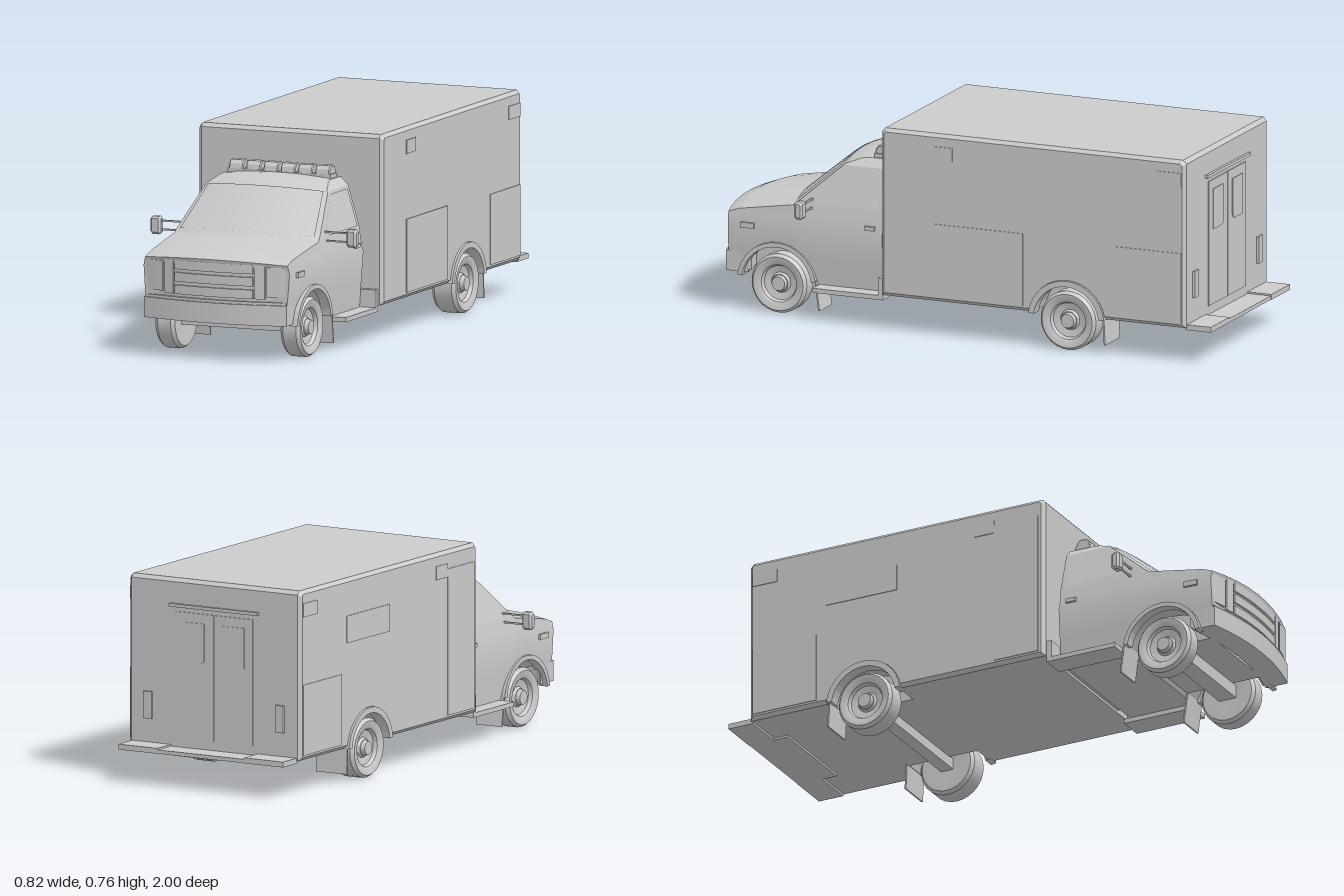
import * as THREE from 'three';
import { toCreasedNormals } from 'three/addons/utils/BufferGeometryUtils.js';

const mat = new THREE.MeshStandardMaterial({ color: 0xcccccc, side: THREE.DoubleSide });
const clamp = THREE.MathUtils.clamp;

// piecewise linear lookup in rising [key, value] pairs
function lookup(table, k) {
  for (let i = 1; i < table.length; i++) {
    const [a, va] = table[i - 1], [b, vb] = table[i];
    if (k <= b) return va + (vb - va) * clamp((k - a) / (b - a), 0, 1);
  }
  return table[table.length - 1][1];
}

export function createModel() {
  const model = new THREE.Group();
  const add = (name, geo, x = 0, y = 0, z = 0) => {
    const m = new THREE.Mesh(geo, mat);
    m.name = name;
    m.position.set(x, y, z);
    model.add(m);
    return m;
  };
  // box given by its limits
  const box = (name, x0, x1, y0, y1, z0, z1) =>
    add(name, new THREE.BoxGeometry(x1 - x0, y1 - y0, z1 - z0), (x0 + x1) / 2, (y0 + y1) / 2, (z0 + z1) / 2);
  // (z, y) outline extruded across x with chamfered ends
  const slab = (name, pts, x0, x1, b = 0) => {
    const shape = new THREE.Shape(pts.map(p => new THREE.Vector2(p[0], p[1])));
    const geo = new THREE.ExtrudeGeometry(shape, {
      depth: x1 - x0 - 2 * b, bevelEnabled: b > 0, bevelThickness: b, bevelSize: b, bevelOffset: -b, bevelSegments: 1,
    });
    geo.rotateY(-Math.PI / 2).translate(x1 - b, 0, 0);
    return add(name, geo);
  };
  const rect = (z0, z1, y0, y1, c = 0) => c
    ? [[z0 + c, y0], [z1 - c, y0], [z1, y0 + c], [z1, y1 - c], [z1 - c, y1], [z0 + c, y1], [z0, y1 - c], [z0, y0 + c]]
    : [[z0, y0], [z1, y0], [z1, y1], [z0, y1]];
  const arc = (cz, cy, r, a0, a1, n = 16) => Array.from({ length: n + 1 }, (_, i) => {
    const a = a0 + (a1 - a0) * i / n;
    return [cz + r * Math.cos(a), cy + r * Math.sin(a)];
  });
  // slab following the bowed nose, seen from above
  const bowed = (name, x0, x1, y0, y1, front, depth) => {
    const pts = [], n = 10;
    for (let i = 0; i <= n; i++) {
      const x = x0 + (x1 - x0) * i / n;
      pts.push(new THREE.Vector2(x, 0.5 * x * x - front));
    }
    for (let i = n; i >= 0; i--) pts.push(new THREE.Vector2(pts[i].x, pts[i].y + depth));
    const geo = new THREE.ExtrudeGeometry(new THREE.Shape(pts), { depth: y1 - y0, bevelEnabled: false });
    geo.rotateX(-Math.PI / 2);
    return add(name, toCreasedNormals(geo, 0.5), 0, y0, 0);
  };

  // rear body with wheel notch
  const RZ = -0.435, FZ = 0.75, WY = 0.11;
  const a = Math.asin(0.02 / 0.14);
  slab('rearBody', [[-0.905, 0.13], ...arc(RZ, WY, 0.14, Math.PI - a, a), [0.305, 0.13],
    [0.305, 0.743], [0.292, 0.757], [-0.892, 0.757], [-0.905, 0.743]], -0.368, 0.368, 0.013);
  box('wheelWellCore', -0.25, 0.25, 0.13, 0.3, -0.6, -0.27);
  box('cabPassage', -0.2, 0.2, 0.14, 0.57, 0.29, 0.34);

  // cab surface rules: roof line, half width by height, underside with wheel arch
  const roof = z => lookup([[0.33, 0.6], [0.43, 0.6], [0.47, 0.595], [0.53, 0.576], [0.73, 0.412], [0.95, 0.375], [0.99, 0.36]], z);
  const half = (y, z) => lookup([[0.12, 0.287], [0.33, 0.303], [0.37, 0.293], [0.42, 0.287], [0.57, 0.243], [0.605, 0.208]], y)
    * (1 - 0.04 * clamp((z - 0.7) / 0.3, 0, 1));
  const under = z => {
    const d = 0.0225 - (z - FZ) ** 2;
    return d > 0 ? Math.max(0.13, WY + Math.sqrt(d)) : z > FZ ? 0.15 : 0.125;
  };
  const bow = (x, z) => z - 0.5 * x * x * clamp((z - 0.4) / 0.1, 0, 1);
  const topPoint = (z, s) => {
    const y = roof(z), x = s * half(y, z);
    return [x, y + 0.012 * (1 - s * s), bow(x, z)];
  };
  const ringAt = z => {
    const edge = roof(z), b = under(bow(0.29, z));
    const side = [b, 0.22, 0.33, 0.37, 0.42, 0.57].map(l => {
      const y = clamp(l, b, edge), x = half(y, z);
      return [x, y, bow(x, z)];
    });
    const top = Array.from({ length: 9 }, (_, i) => topPoint(z, 1 - i / 4));
    return [...side, ...top, ...side.map(p => [-p[0], p[1], p[2]]).reverse()];
  };
  const pos = [], idx = [], steps = 33;
  for (let i = 0; i <= steps; i++) ringAt(0.33 + 0.02 * i).forEach(p => pos.push(...p));
  const n = pos.length / 3 / (steps + 1), last = steps * n;
  pos.push(0, 0.35, 0.33, 0, 0.25, 0.96);
  for (let j = 0; j < n; j++) {
    const k = (j + 1) % n;
    for (let i = 0; i < steps; i++) {
      const p = i * n + j, q = i * n + k;
      idx.push(p, q + n, q, p, p + n, q + n);
    }
    idx.push(last + n, j, k, last + n + 1, last + k, last + j);
  }
  const cab = new THREE.BufferGeometry();
  cab.setAttribute('position', new THREE.Float32BufferAttribute(pos, 3));
  // keep the winding outward whichever way the rings run
  for (let i = 0; i < idx.length; i += 3) [idx[i + 1], idx[i + 2]] = [idx[i + 2], idx[i + 1]];
  const outward = (() => {
    const v = i => new THREE.Vector3(pos[3 * i], pos[3 * i + 1], pos[3 * i + 2]);
    let sum = 0;
    for (let i = 0; i < idx.length; i += 3) sum += v(idx[i]).dot(v(idx[i + 1]).cross(v(idx[i + 2])));
    return sum > 0;
  })();
  if (!outward) idx.reverse();
  cab.setIndex(idx);
  add('cab', toCreasedNormals(cab, 0.45));
  box('engineBay', -0.19, 0.19, 0.14, 0.28, 0.58, 0.9);

  // windshield lying just over the cab surface
  const glass = new THREE.PlaneGeometry(2, 1, 10, 6);
  const gp = glass.attributes.position;
  for (let i = 0; i < gp.count; i++) {
    const p = topPoint(0.715 - 0.175 * (gp.getY(i) + 0.5), gp.getX(i) * 0.94);
    gp.setXYZ(i, p[0], p[1] + 0.003, p[2] + 0.003);
  }
  glass.computeVertexNormals();
  add('windshield', glass);

  // nose: fascia, grille, lamps and bumper
  bowed('fascia', -0.28, 0.28, 0.15, 0.355, 0.978, 0.08);
  for (const y of [0.235, 0.281, 0.326]) bowed('grilleBar', -0.155, 0.155, y, y + 0.033, 0.987, 0.03);
  bowed('bumper', -0.284, 0.284, 0.14, 0.215, 1.0, 0.09);
  bowed('bumperLip', -0.278, 0.278, 0.215, 0.225, 0.992, 0.07);

  // light bar
  box('lightBarBase', -0.205, 0.205, 0.6, 0.615, 0.345, 0.405);
  for (let i = 0; i < 6; i++) {
    const x = -0.172 + i * 0.0688;
    slab('roofLamp', [[0.345, 0.612], [0.405, 0.612], [0.401, 0.632], [0.39, 0.645], [0.36, 0.645], [0.349, 0.632]], x - 0.029, x + 0.029, 0.004);
  }

  // wheel profile turned around its axle
  const wheel = (name, s, xOut, w, z) => {
    const prof = [[0, 0.018], [0.032, 0.018], [0.038, 0.028], [0.064, 0.022], [0.07, 0.008], [0.078, 0.003], [0.1, 0],
      [0.11, 0.013], [0.11, w - 0.013], [0.1, w], [0.06, w], [0, w - 0.01]].map(p => new THREE.Vector2(p[0], p[1]));
    const g = toCreasedNormals(new THREE.LatheGeometry(prof, 28), 0.5);
    add(name, g, s * xOut, WY, z).rotation.z = s * Math.PI / 2;
    const cap = new THREE.CylinderGeometry(0.026, 0.03, 0.02, 16);
    add('hub', cap, s * (xOut - 0.012), WY, z).rotation.z = -s * Math.PI / 2;
  };

  for (const s of [1, -1]) {
    // mirrored limits along x
    const mx = (x0, x1) => s > 0 ? [x0, x1] : [-x1, -x0];
    wheel('frontWheel', s, 0.289, 0.078, FZ);
    wheel('rearWheel', s, 0.367, 0.095, RZ);
    slab('frontArch', [...arc(FZ, WY, 0.157, 0.15, Math.PI - 0.15), ...arc(FZ, WY, 0.14, Math.PI - 0.15, 0.15)], ...mx(0.265, 0.303));
    slab('rearArch', [...arc(RZ, WY, 0.152, 0.13, Math.PI - 0.13), ...arc(RZ, WY, 0.13, Math.PI - 0.13, 0.13)], ...mx(0.33, 0.376));
    slab('frontMudflap', [[0.6, 0.14], [0.594, 0.14], [0.579, 0.028], [0.585, 0.028]], ...mx(0.19, 0.3));
    slab('rearMudflap', [[-0.575, 0.14], [-0.581, 0.14], [-0.587, 0.035], [-0.581, 0.035]], ...mx(0.235, 0.366));

    // headlamps
    bowed('headlamp', ...mx(0.208, 0.283), 0.242, 0.352, 0.987, 0.06);
    bowed('markerLamp', ...mx(0.162, 0.2), 0.235, 0.359, 0.987, 0.03);
    slab('sideMarker', rect(0.84, 0.895, 0.31, 0.33), ...mx(0.28, 0.303));

    // side window and door seams bent to the cab side
    const drape = (name, pts, off) => {
      const g = new THREE.ShapeGeometry(new THREE.Shape(pts.map(p => new THREE.Vector2(p[0], p[1]))));
      const p = g.attributes.position;
      for (let i = 0; i < p.count; i++) {
        const z = p.getX(i), y = p.getY(i);
        p.setXYZ(i, s * (half(y, z) + off), y, z);
      }
      g.computeVertexNormals();
      add(name, g);
    };
    drape('sideWindow', [[0.35, 0.425], [0.6, 0.425], [0.6, 0.46], [0.5, 0.56], [0.35, 0.56]], 0.003);
    slab('doorHandle', rect(0.36, 0.4, 0.35, 0.365), ...mx(0.29, 0.308));

    // mirror on two arms
    slab('mirror', rect(0.6, 0.633, 0.39, 0.456, 0.008), ...mx(0.37, 0.411), 0.008);
    for (const y of [0.408, 0.44]) box('mirrorArm', ...mx(0.27, 0.375), y - 0.003, y + 0.003, 0.612, 0.62);

    // running board
    box('runningBoard', ...mx(0.25, 0.35), 0.108, 0.125, 0.305, 0.585);
    box('boardRiser', ...mx(0.28, 0.35), 0.108, 0.19, 0.305, 0.325);

    // lamps and panels on the body side
    const panel = (name, z0, z1, y0, y1) => slab(name, rect(z0, z1, y0, y1), ...mx(0.36, 0.371));
    panel('frontSideLamp', 0.02, 0.1, 0.66, 0.71);
    panel('rearSideLamp', -0.89, -0.79, 0.66, 0.71);
    panel('rearLocker', -0.89, -0.63, 0.15, 0.41);
    if (s > 0) panel('frontLocker', -0.26, 0.1, 0.15, 0.42);
    else {
      panel('sideDoor', 0.1, 0.28, 0.15, 0.69);
      panel('bodyWindow', -0.59, -0.3, 0.52, 0.62);
    }

    // rear doors, windows and lamps
    box('rearDoor', ...mx(0.002, 0.165), 0.17, 0.635, -0.909, -0.9);
    const win = new THREE.Shape();
    win.moveTo(0.04, 0.6).lineTo(0.13, 0.6).lineTo(0.13, 0.45).lineTo(0.065, 0.45);
    win.quadraticCurveTo(0.04, 0.45, 0.04, 0.475);
    const wg = new THREE.ExtrudeGeometry(win, { depth: 0.006, bevelEnabled: false });
    if (s < 0) wg.rotateY(Math.PI).translate(0, 0, 0.006);
    add('rearWindow', wg, 0, 0, -0.912);
    box('tailLamp', ...mx(0.265, 0.3), 0.23, 0.33, -0.914, -0.9);
    box('stepEnd', ...mx(0.185, 0.352), 0.122, 0.142, -1, -0.9);
  }

  // rear trim, step and running gear
  box('doorRail', -0.19, 0.19, 0.652, 0.664, -0.916, -0.9);
  box('rearStep', -0.19, 0.19, 0.122, 0.136, -0.998, -0.84);
  box('frontAxle', -0.215, 0.215, 0.092, 0.14, FZ - 0.035, FZ + 0.035);
  box('rearAxle', -0.28, 0.28, 0.092, 0.135, RZ - 0.025, RZ + 0.025);
  return model;
}
